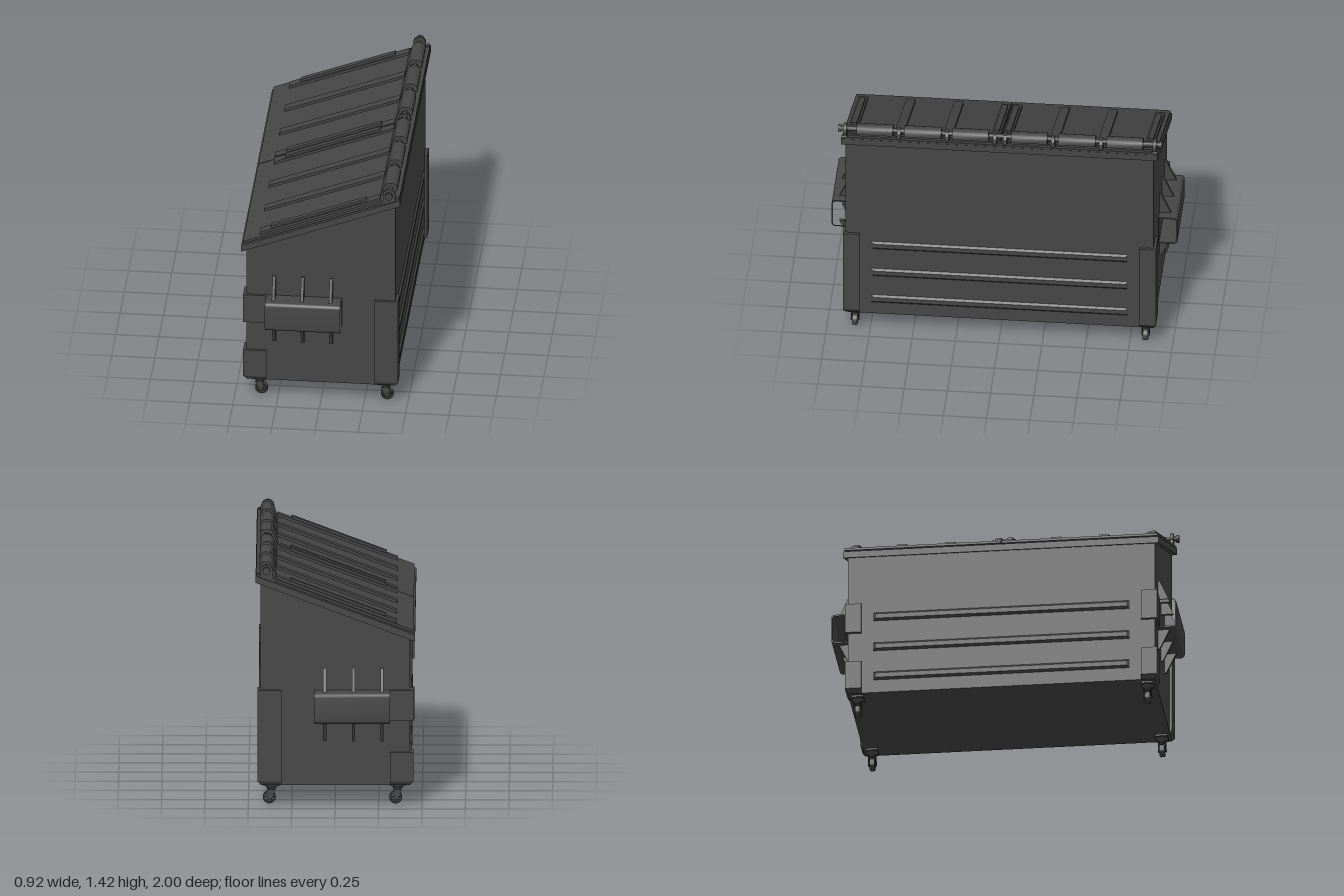
import * as THREE from 'three';
import { toCreasedNormals } from 'three/addons/utils/BufferGeometryUtils.js';

const mat = new THREE.MeshStandardMaterial({ color: 0x464646 });

// Height of the sloping rim at a given x
const slope = (x) => 1.01 + 0.377 * (x + 0.46);

function add(parent, name, geo) {
  const mesh = new THREE.Mesh(geo, mat);
  mesh.name = name;
  parent.add(mesh);
  return mesh;
}

function shapeOf(points) {
  return new THREE.Shape(points.map(([x, y]) => new THREE.Vector2(x, y)));
}

// Profile in x,y pushed from z0 to z1
function alongZ(points, z0, z1) {
  const g = new THREE.ExtrudeGeometry(shapeOf(points), { depth: z1 - z0, bevelEnabled: false });
  return g.translate(0, 0, z0);
}

// Shape drawn in (-z, y) pushed from x0 to x1
function alongX(shape, x0, x1) {
  const g = new THREE.ExtrudeGeometry(shape, { depth: x1 - x0, bevelEnabled: false, curveSegments: 5 });
  return g.rotateY(Math.PI / 2).translate(x0, 0, 0);
}

// Slab that follows the slope, lo and hi measured above the rim
function slab(x0, x1, lo, hi, z0, z1) {
  return alongZ([[x0, slope(x0) + lo], [x1, slope(x1) + lo], [x1, slope(x1) + hi], [x0, slope(x0) + hi]], z0, z1);
}

function box(x0, x1, y0, y1, z0, z1) {
  return new THREE.BoxGeometry(x1 - x0, y1 - y0, z1 - z0)
    .translate((x0 + x1) / 2, (y0 + y1) / 2, (z0 + z1) / 2);
}

function rod(r, z0, z1, x, y) {
  return new THREE.CylinderGeometry(r, r, z1 - z0, 16).rotateX(Math.PI / 2).translate(x, y, (z0 + z1) / 2);
}

// Corner plate whose bottom edge tapers inward
function cornerPlate(x0, x1, y0, y1, z0, z1) {
  const g = new THREE.BoxGeometry(x1 - x0, y1 - y0, z1 - z0, 1, 2, 1)
    .translate((x0 + x1) / 2, (y0 + y1) / 2, (z0 + z1) / 2);
  const p = g.attributes.position;
  for (let i = 0; i < p.count; i++) {
    const y = p.getY(i);
    if (y > y1 - 0.001) continue;
    if (y > y0 + 0.001) { p.setY(i, y0 + 0.025); continue; }
    if (Math.abs(p.getX(i)) > 0.43) p.setX(i, p.getX(i) - Math.sign(p.getX(i)) * 0.02);
    if (Math.abs(p.getZ(i)) > 0.89) p.setZ(i, p.getZ(i) - Math.sign(p.getZ(i)) * 0.015);
  }
  return toCreasedNormals(g, 0.1);
}

// Raised stiffening ridge with tapered edges on a long side
function sideRidge(side, y) {
  const g = new THREE.BoxGeometry(0.012, 0.054, 1.49);
  const p = g.attributes.position;
  for (let i = 0; i < p.count; i++) {
    if (p.getX(i) * side > 0) {
      p.setY(i, p.getY(i) * 0.5);
      p.setZ(i, p.getZ(i) * 0.975);
    }
  }
  return toCreasedNormals(g.translate(side * 0.435, y, 0), 0.1);
}

function caster(x, z) {
  const c = new THREE.Group();
  c.name = 'caster';
  add(c, 'casterPlate', box(-0.045, 0.045, 0.11, 0.122, -0.035, 0.035));
  add(c, 'casterSwivel', new THREE.CylinderGeometry(0.038, 0.018, 0.03, 14).translate(0, 0.096, 0));
  for (const s of [-1, 1]) {
    const z0 = s * 0.02 - 0.003;
    add(c, 'casterFork', alongZ([[-0.024, 0.088], [0.024, 0.088], [0.028, 0.04], [0.012, 0.028], [-0.004, 0.036]], z0, z0 + 0.006));
  }
  const wheel = new THREE.Group();
  wheel.name = 'wheel';
  wheel.position.set(0.012, 0.04, 0);
  const tyre = [[0.026, -0.015], [0.034, -0.015], [0.037, -0.009], [0.037, 0.009], [0.034, 0.015], [0.026, 0.015], [0.026, -0.015]];
  add(wheel, 'tyre', toCreasedNormals(
    new THREE.LatheGeometry(tyre.map(([r, h]) => new THREE.Vector2(r, h)), 28).rotateX(Math.PI / 2), 0.7));
  add(wheel, 'axle', rod(0.009, -0.025, 0.025, 0, 0));
  for (let i = 0; i < 3; i++) {
    add(wheel, 'spoke', box(-0.027, 0.027, -0.004, 0.004, -0.007, 0.007)).rotation.z = i * Math.PI / 3;
  }
  c.add(wheel);
  c.position.set(x, 0, z);
  return c;
}

// Open sleeve for a lifting fork, with gussets above and below
function forkPocket(s) {
  const pocket = new THREE.Group();
  pocket.name = 'forkPocket';
  const outline = (Type, inner, outer, y0, y1, r) => {
    const path = new Type();
    path.moveTo(-s * inner, y0);
    path.lineTo(-s * (outer - r), y0);
    path.quadraticCurveTo(-s * outer, y0, -s * outer, y0 + r);
    path.lineTo(-s * outer, y1 - r);
    path.quadraticCurveTo(-s * outer, y1, -s * (outer - r), y1);
    path.lineTo(-s * inner, y1);
    path.closePath();
    return path;
  };
  const shape = outline(THREE.Shape, 0.885, 1, 0.5, 0.68, 0.025);
  shape.holes.push(outline(THREE.Path, 0.893, 0.992, 0.508, 0.672, 0.019));
  add(pocket, 'forkSleeve', toCreasedNormals(alongX(shape, -0.315, 0.12), 0.5));
  for (const x of [-0.27, -0.105, 0.06]) {
    const upper = [[0.885, 0.675], [0.96, 0.675], [0.9, 0.81], [0.885, 0.81]];
    const lower = [[0.885, 0.505], [0.96, 0.505], [0.9, 0.38], [0.885, 0.38]];
    for (const pts of [upper, lower]) {
      add(pocket, 'gusset', alongX(shapeOf(pts.map(([z, y]) => [-s * z, y])), x - 0.009, x + 0.009));
    }
  }
  return pocket;
}

export function createModel() {
  const model = new THREE.Group();
  model.name = 'wasteContainer';

  // Body and sloping rim
  add(model, 'body', alongZ([[-0.43, 0.12], [0.43, 0.12], [0.43, slope(0.43) - 0.01], [-0.43, slope(-0.43) - 0.01]], -0.89, 0.89));
  add(model, 'rim', slab(-0.46, 0.458, -0.04, 0, -0.915, 0.915));

  for (const side of [-1, 1]) {
    for (const y of [0.6, 0.41, 0.225]) add(model, 'sideRidge', sideRidge(side, y));
  }

  for (const s of [-1, 1]) {
    const range = (a, b) => (s > 0 ? [a, b] : [-b, -a]);
    const corner = range(0.81, 0.905);

    // Corner reinforcements
    add(model, 'tallCornerPlate', cornerPlate(0.31, 0.447, 0.12, 0.68, ...corner));
    add(model, 'lowCornerPlate', cornerPlate(-0.45, -0.315, 0.12, 0.315, ...corner));
    add(model, 'upperCornerPlate', box(-0.45, -0.315, 0.5, 0.68, ...corner));

    model.add(forkPocket(s));
    for (const x of [-0.36, 0.367]) model.add(caster(x, s * 0.84));

    // Lid half with its ribs
    const lid = new THREE.Group();
    lid.name = 'lid';
    add(lid, 'lidPanel', slab(-0.45, 0.365, 0.007, 0.022, ...range(0.003, 0.908)));
    for (const z of [0.033, 0.307, 0.585, 0.858]) {
      add(lid, 'lidRib', slab(-0.355, 0.34, 0.02, 0.038, ...range(z - 0.027, z + 0.027)));
      if (z < 0.1 || z > 0.8) {
        add(lid, 'raisedRib', slab(-0.29, 0.26, 0.036, 0.053, ...range(z - 0.016, z + 0.016)));
      }
    }
    // Hinge hoods curling over the rod
    const hood = [[0.335, 1.325], [0.358, 1.395], [0.372, 1.414], [0.385, 1.42], [0.41, 1.42],
      [0.427, 1.412], [0.436, 1.397], [0.436, 1.375], [0.4, 1.365], [0.365, 1.335]];
    for (const [a, b] of [[0.065, 0.275], [0.338, 0.553], [0.618, 0.828]]) {
      add(lid, 'hingeHood', toCreasedNormals(alongZ(hood, ...range(a, b)), 0.7));
    }
    model.add(lid);

    // Hinge supports and rod ends
    const lug = [[0.345, 1.305], [0.435, 1.34], [0.425, 1.385], [0.41, 1.405], [0.38, 1.405], [0.365, 1.385]];
    for (const z of [0.03, 0.307, 0.585]) add(model, 'hingeSupport', alongZ(lug, ...range(z - 0.01, z + 0.01)));
    add(model, 'endBracket', alongZ(lug, ...range(0.885, 0.905)));
    add(model, 'endBracketEye', rod(0.037, ...range(0.885, 0.905), 0.395, 1.383));
    add(model, 'rodEnd', rod(0.022, ...range(0.918, 0.936), 0.395, 1.388));
    add(model, 'rimBolt', rod(0.01, ...range(0.88, 0.912), 0.443, 1.36));
  }
  add(model, 'hingeRod', rod(0.014, -0.93, 0.93, 0.395, 1.388));
  add(model, 'hingeRail', slab(0.41, 0.455, -0.005, 0.012, -0.9, 0.9));

  return model;
}
